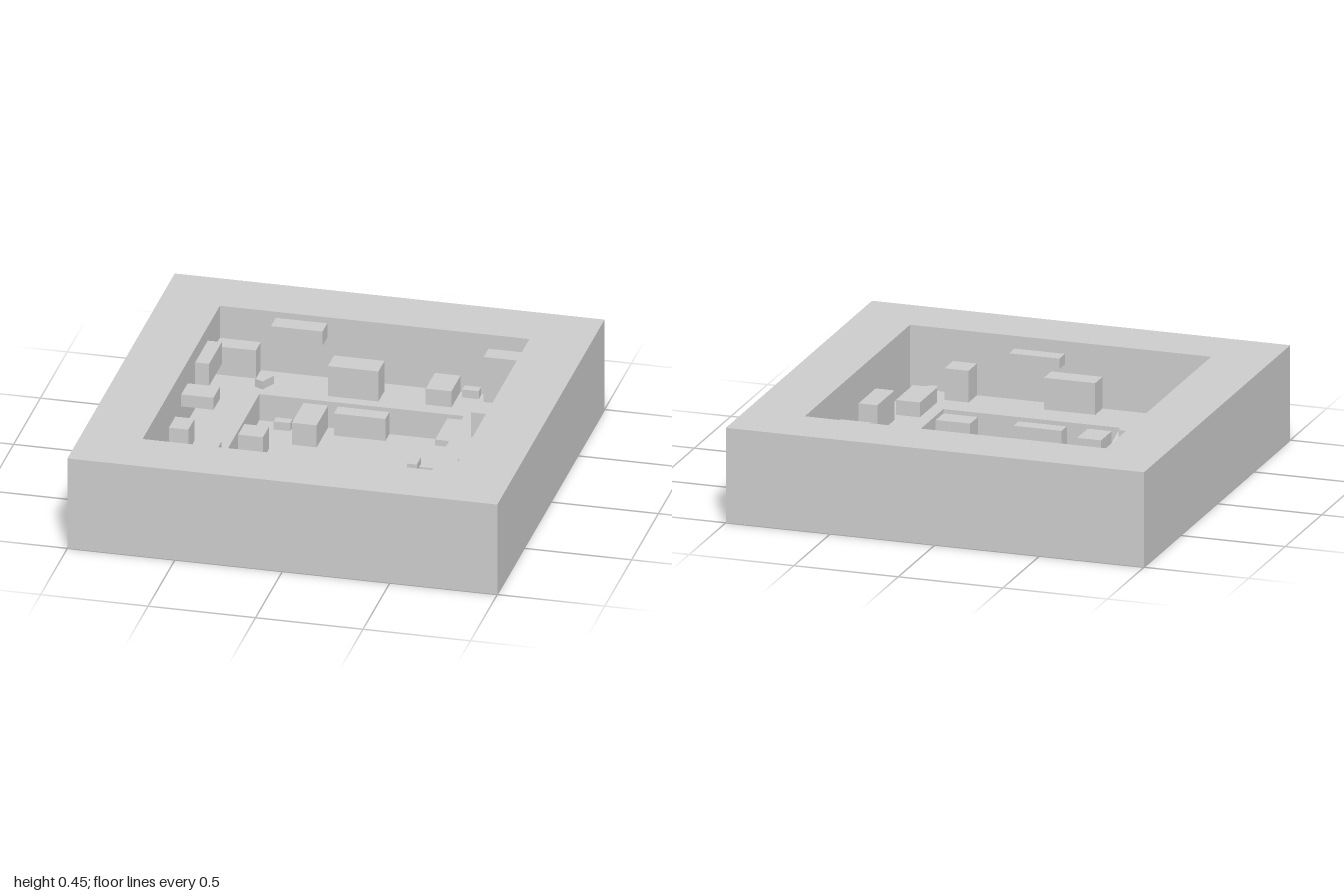
import * as THREE from 'three';

const material = new THREE.MeshStandardMaterial({ color: 0xcccccc, flatShading: true, side: THREE.DoubleSide });

const RIM = 0.45, LEDGE = 0.15, FLOOR = 0.02; // heights
const HOLE = 0.72, PIT = 0.475;               // half widths

function add(parent, name, geometry) {
  const mesh = new THREE.Mesh(geometry, material);
  mesh.name = name;
  parent.add(mesh);
  return mesh;
}

// Square shell swept from a profile of [half width, height]
function squareShell(profile) {
  const points = profile.map(([s, y]) => new THREE.Vector2(s * Math.SQRT2, y));
  const geometry = new THREE.LatheGeometry(points, 4).rotateY(Math.PI / 4).toNonIndexed();
  geometry.computeVertexNormals();
  return geometry;
}

// Blocks as [x0, x1, z0, z1, y0, y1]; those touching a wall are let into it
function addBlocks(parent, name, rows, wall, depth) {
  const seat = (v) => (Math.abs(Math.abs(v) - wall) < 0.001 ? v + Math.sign(v) * depth : v);
  for (const row of rows) {
    const [x0, x1, z0, z1] = row.slice(0, 4).map(seat);
    const [y0, y1] = row.slice(4);
    add(parent, name, new THREE.BoxGeometry(x1 - x0, y1 - y0, z1 - z0))
      .position.set((x0 + x1) / 2, (y0 + y1) / 2, (z0 + z1) / 2);
  }
}

export function createModel() {
  const model = new THREE.Group();
  model.name = 'steppedPit';

  // Outer walls, rim, ledge and sunken floor
  add(model, 'shell', squareShell([
    [1, 0], [1, RIM], [HOLE, RIM], [HOLE, LEDGE], [PIT, LEDGE], [PIT, FLOOR], [0, FLOOR],
  ]));
  // Upper walls carried on below the ledge
  add(model, 'wallSkirt', squareShell([[HOLE, LEDGE], [HOLE, FLOOR]]));

  // Strips on the hidden underside between outer and inner walls
  for (let i = 0; i < 4; i++) {
    const strip = new THREE.PlaneGeometry(1.4, 1 - HOLE).rotateX(Math.PI / 2);
    strip.translate(0, 0.2, (1 + HOLE) / 2).rotateY(i * Math.PI / 2);
    add(model, 'undersideStrip', strip);
  }

  // Ramp from the ledge down to the floor
  const side = new THREE.Shape([
    new THREE.Vector2(-PIT, FLOOR), new THREE.Vector2(-0.07, FLOOR), new THREE.Vector2(-PIT, LEDGE),
  ]);
  add(model, 'ramp', new THREE.ExtrudeGeometry(side, { depth: 0.105, bevelEnabled: false })
    .rotateY(Math.PI / 2).translate(-PIT, 0, 0));

  // Blocks around the ledge
  addBlocks(model, 'ledgeBlock', [
    [-0.72, -0.53, -0.72, -0.63, LEDGE, 0.29],
    [-0.17, 0.065, -0.645, -0.53, LEDGE, 0.30],
    [0.28, 0.4, -0.72, -0.55, LEDGE, 0.23],
    [0.53, 0.72, -0.72, -0.63, LEDGE, 0.38],
    [-0.72, -0.63, 0.11, 0.23, LEDGE, 0.28],
    [-0.605, -0.485, 0.19, 0.42, LEDGE, 0.22],
    [0.57, 0.72, -0.355, -0.235, LEDGE, 0.29],
    [0.63, 0.72, 0.015, 0.25, LEDGE, 0.29],
    [0.535, 0.65, 0.325, 0.56, LEDGE, 0.22],
    [0.4, 0.515, 0.605, 0.72, LEDGE, 0.30],
    [-0.2, 0.045, 0.62, 0.72, LEDGE, 0.30],
  ], HOLE, 0.05);

  // Blocks fixed high on the upper walls
  addBlocks(model, 'wallBlock', [
    [-0.46, -0.22, -0.72, -0.63, 0.35, 0.42],
    [-0.72, -0.655, -0.495, -0.26, 0.27, 0.38],
    [-0.72, -0.57, -0.12, 0.0, 0.28, 0.34],
    [-0.02, 0.22, 0.645, 0.72, 0.34, 0.39],
  ], HOLE, 0.05);

  // Blocks around the sunken floor
  addBlocks(model, 'pitBlock', [
    [-0.27, -0.155, -PIT, -0.26, FLOOR, 0.13],
    [-0.11, 0.13, -PIT, -0.4, FLOOR, 0.13],
    [0.4, PIT, -PIT, -0.245, FLOOR, 0.13],
    [0.4, PIT, -0.185, 0.05, FLOOR, 0.13],
    [-PIT, -0.36, -0.195, -0.08, FLOOR, 0.13],
    [-0.33, -0.215, 0.33, PIT, FLOOR, 0.13],
    [-0.115, 0.115, 0.405, PIT, FLOOR, 0.13],
    [0.31, PIT, 0.37, PIT, FLOOR, 0.13],
  ], PIT, 0.03);

  // Small loose stones: x, z, base, turn
  for (const [x, z, base, turn] of [
    [0.46, -0.685, LEDGE, 0], [-0.475, -0.57, LEDGE, 1.1],
    [-0.65, 0.417, LEDGE, Math.PI / 2], [0.605, 0.64, LEDGE, 0.35],
    [-0.35, -0.418, FLOOR, 0], [0.325, -0.152, FLOOR, Math.PI / 2], [0.01, 0.368, FLOOR, 0],
  ]) {
    const stone = add(model, 'smallStone', new THREE.BoxGeometry(0.078, 0.04, 0.045));
    stone.position.set(x, base + 0.02, z);
    stone.rotation.y = turn;
  }

  return model;
}
